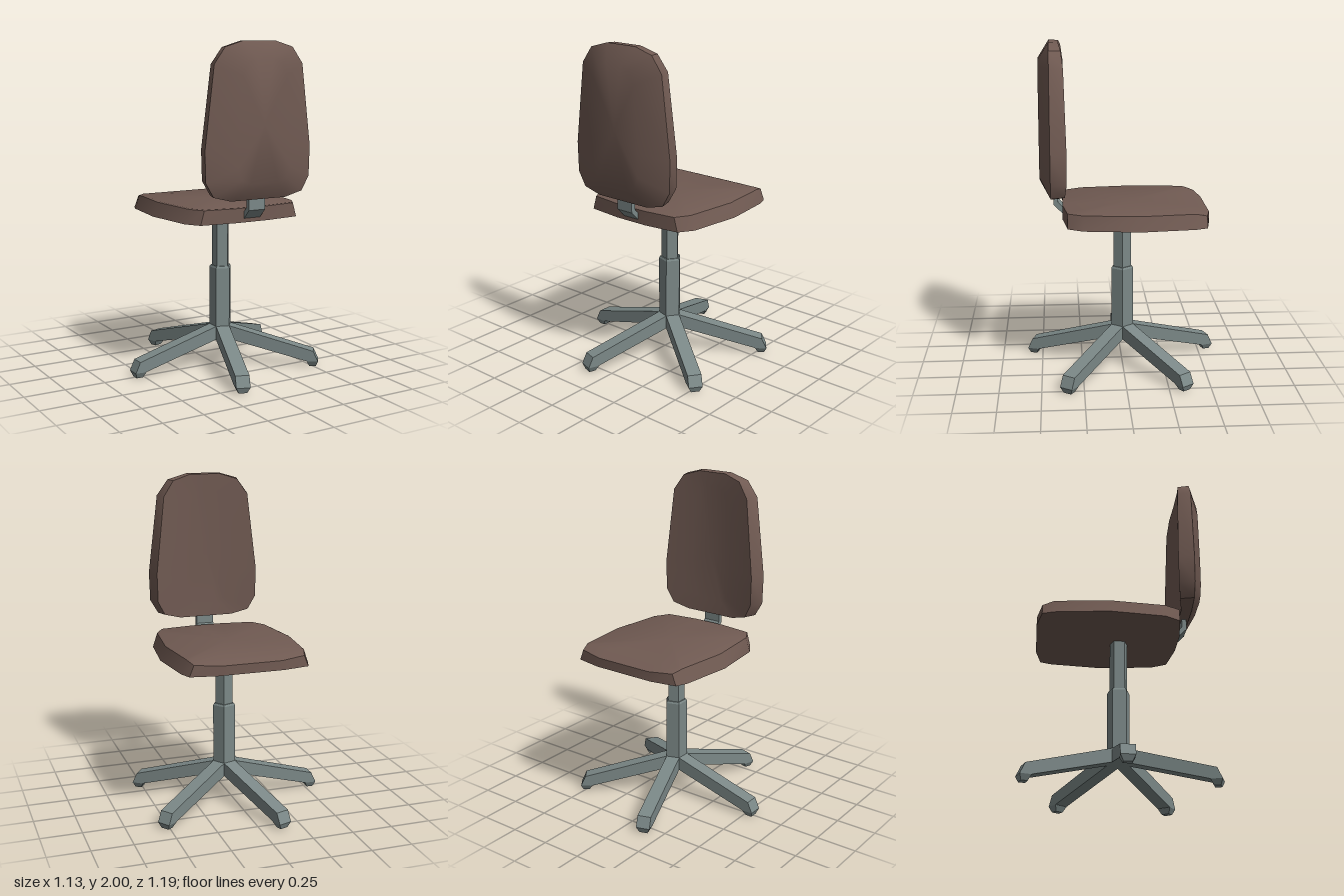
import * as THREE from 'three';
import { toCreasedNormals } from 'three/addons/utils/BufferGeometryUtils.js';

const CX = 0.045; // axis of the column and cushions

// Skin a closed solid over matching rings of [x, y, z] points, with fan caps.
function loft(rings, crease) {
  const pos = [];
  const tri = (a, b, c) => pos.push(...a, ...b, ...c);
  const n = rings[0].length;
  const middle = (ring) => [0, 1, 2].map((k) => ring.reduce((s, p) => s + p[k], 0) / n);
  const first = rings[0], last = rings[rings.length - 1];
  const m0 = middle(first), m1 = middle(last);
  for (let i = 0; i < n; i++) {
    const j = (i + 1) % n;
    tri(m0, first[j], first[i]);
    tri(m1, last[i], last[j]);
    for (let r = 0; r + 1 < rings.length; r++) {
      const a = rings[r], b = rings[r + 1];
      tri(a[i], a[j], b[j]);
      tri(a[i], b[j], b[i]);
    }
  }
  const g = new THREE.BufferGeometry();
  g.setAttribute('position', new THREE.Float32BufferAttribute(pos, 3));
  return toCreasedNormals(g, crease);
}

// Complete a half outline by mirroring it in x.
const mirrored = (half) => [...half, ...half.map(([x, v]) => [-x, v]).reverse()];

function seatGeometry() {
  const outline = mirrored([[0.11, 0.362], [0.33, 0.335], [0.385, 0.245], [0.424, -0.085],
    [0.387, -0.405], [0.36, -0.475], [0.2, -0.505]]);
  const topY = (z) => (z < -0.49 ? 1.01 : z < -0.45 ? 1.02 : 1.038);
  return loft([
    outline.map(([x, z]) => [x * 0.6, 0.937, z * 0.6]),
    outline.map(([x, z]) => [x, 0.953, z]),
    outline.map(([x, z]) => [x * 0.925, topY(z), z]),
    outline.map(([x, z]) => [x * 0.9, 1.042, Math.max(z * 0.98, -0.42)]),
  ], 0.5);
}

function backrestGeometry() {
  const outline = mirrored([[0.185, 1.095], [0.3, 1.125], [0.35, 1.21], [0.355, 1.39],
    [0.295, 1.87], [0.225, 1.965], [0.105, 2.0]]);
  const midY = 1.55;
  const hollow = (x) => 0.378 - 0.042 * (x / 0.325) ** 2;
  const ring = (sx, sy, z) => outline.map(([x, y]) =>
    [x * sx, midY + (y - midY) * sy, typeof z === 'function' ? z(x * sx) : z]);
  return loft([
    ring(0.4, 0.8, hollow),   // hollow side facing the seat
    ring(0.92, 0.995, hollow),
    ring(1, 1, 0.43),         // rim
    ring(0.5, 0.78, 0.494),   // rounded outer side
  ], 0.65);
}

// A leg along +x: sections of [top x, top y, bottom x, bottom y, half width].
function legGeometry() {
  const sections = [
    [0, 0.265, 0, 0.18, 0.042],
    [0.58, 0.1, 0.54, 0.035, 0.042],
    [0.61, 0.035, 0.54, 0.034, 0.042],
    [0.597, 0, 0.557, 0, 0.025],
  ];
  return loft(sections.map(([tx, ty, bx, by, w]) =>
    [[tx, ty, w], [bx, by, w], [bx, by, -w], [tx, ty, -w]]), 0.1);
}

// Five-sided post with flat faces turned towards the legs.
function postGeometry(rTop, rBottom, y0, y1) {
  const g = new THREE.CylinderGeometry(rTop, rBottom, y1 - y0, 5, 1, false, Math.PI / 2);
  return toCreasedNormals(g.translate(0, (y0 + y1) / 2, 0), 0.1);
}

// Bent flat bar joining the seat to the backrest.
function bracketGeometry() {
  const side = [[0.1, 0.96], [0.345, 0.96], [0.415, 1.03], [0.415, 1.5],
    [0.387, 1.5], [0.387, 1.045], [0.335, 0.99], [0.1, 0.99]];
  const shape = new THREE.Shape(side.map(([z, y]) => new THREE.Vector2(-z, y)));
  const g = new THREE.ExtrudeGeometry(shape, { depth: 0.11, bevelEnabled: false });
  return g.translate(0, 0, -0.055).rotateY(Math.PI / 2);
}

export function createModel() {
  const chair = new THREE.Group();
  chair.name = 'swivelChair';
  const brown = new THREE.MeshStandardMaterial({ color: 0x705a52 });
  brown.name = 'brown upholstery';
  const grey = new THREE.MeshStandardMaterial({ color: 0x7b8887 });
  grey.name = 'grey metal';

  const add = (name, geometry, material) => {
    const mesh = new THREE.Mesh(geometry, material);
    mesh.name = name;
    mesh.position.x = CX;
    chair.add(mesh);
    return mesh;
  };

  // Cushions
  add('seat', seatGeometry(), brown);
  add('backrest', backrestGeometry(), brown);

  // Support
  add('backBracket', bracketGeometry(), grey);
  add('upperColumn', postGeometry(0.056, 0.056, 0.6, 0.95), grey);
  add('columnCollar', postGeometry(0.064, 0.071, 0.615, 0.627), grey);
  add('lowerColumn', postGeometry(0.071, 0.071, 0.18, 0.615), grey);

  // Star base
  const leg = legGeometry();
  for (let i = 0; i < 5; i++) {
    add('leg' + (i + 1), leg, grey).rotation.y = Math.PI + (i * 2 * Math.PI) / 5;
  }
  return chair;
}
